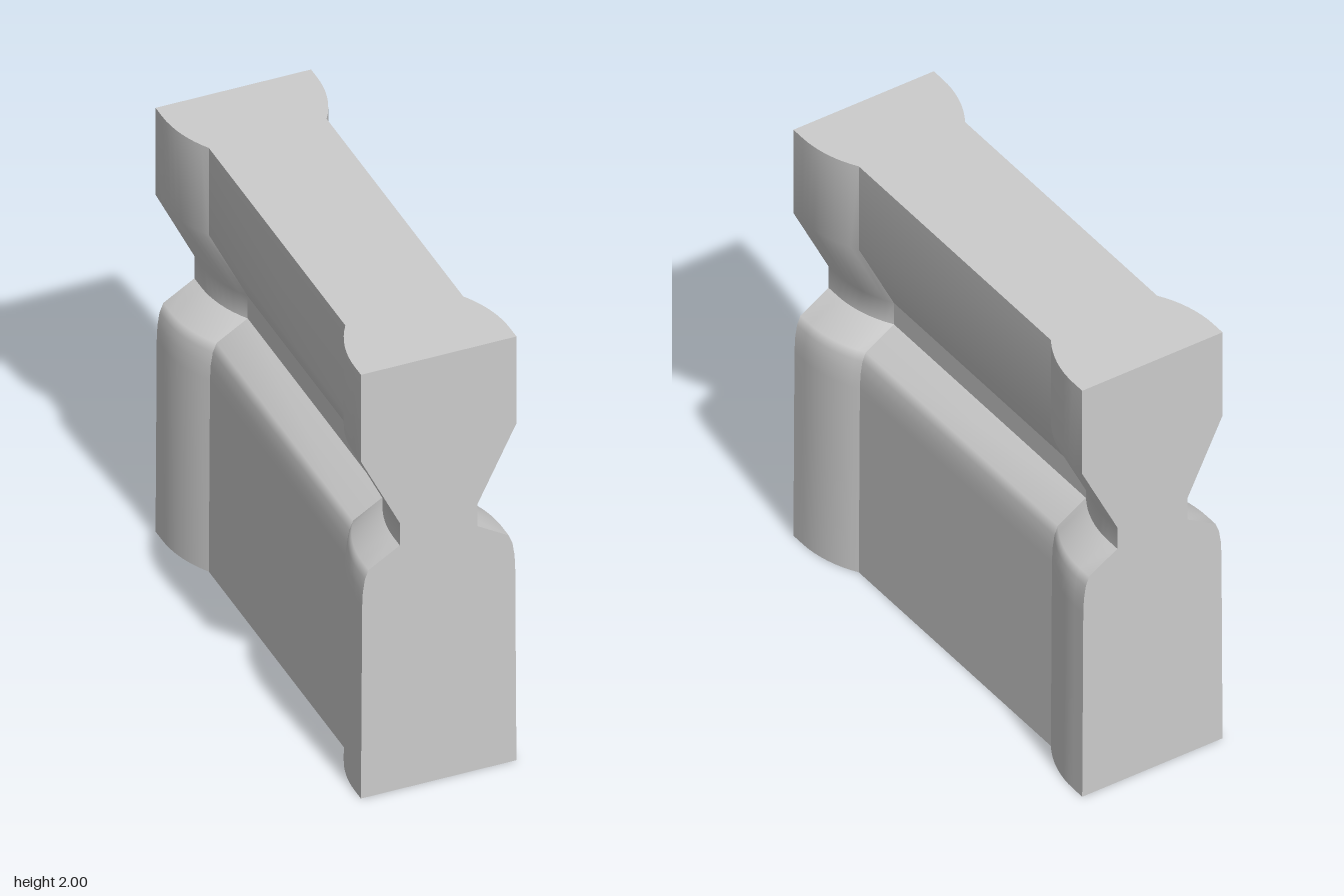
import * as THREE from 'three';

const material = new THREE.MeshStandardMaterial({ color: 0xcccccc });

// Half profile at the ends as [x, y], from the top down
const upper = [[0.33, 2], [0.33, 1.59], [0.165, 1.255]];
const neck = [[0.165, 1.255], [0.165, 1.15]];
const lower = [[0.165, 1.15], [0.297, 1.07], [0.313, 1.03], [0.322, 0.97], [0.325, 0.9], [0.327, 0.5], [0.33, 0]];

// Plan of one flared end as [z, inset]: a shallow arc running into the recess
const flare = [[1, 0]];
const RADIUS = 0.5, SWEEP = Math.acos(1 - 0.08 / RADIUS), STEPS = 8;
for (let i = 0; i <= STEPS; i++) {
  const a = (SWEEP * i) / STEPS;
  flare.push([0.665 + RADIUS * (Math.sin(SWEEP) - Math.sin(a)), RADIUS * (1 - Math.cos(a))]);
}
const flareBack = flare.map(([z, inset]) => [-z, inset]).reverse();
const recess = [flare[STEPS + 1], flareBack[0]];

// Side surface: a profile swept along z with its inset, on one side of the model
function sweep(profile, plan, side) {
  const positions = [], index = [], n = profile.length;
  for (const [z, inset] of plan)
    for (const [x, y] of profile) positions.push(side * (x - inset), y, z);
  for (let i = 0; i < plan.length - 1; i++) {
    for (let j = 0; j < n - 1; j++) {
      const a = i * n + j, b = a + 1, c = a + n, d = c + 1;
      if (side > 0) index.push(a, b, c, b, d, c);
      else index.push(a, c, b, b, c, d);
    }
  }
  const geometry = new THREE.BufferGeometry();
  geometry.setAttribute('position', new THREE.Float32BufferAttribute(positions, 3));
  geometry.setIndex(index);
  geometry.computeVertexNormals();
  return geometry;
}

// Flat face from a half outline mirrored across x = 0
function mirroredFace(half) {
  const points = [...half, ...half.map(([x, y]) => [-x, y]).reverse()];
  return new THREE.ShapeGeometry(new THREE.Shape(points.map(([x, y]) => new THREE.Vector2(x, y))));
}

export function createModel() {
  const model = new THREE.Group();
  model.name = 'barrierBlock';
  const add = (name, geometry) => {
    const mesh = new THREE.Mesh(geometry, material);
    mesh.name = name;
    model.add(mesh);
  };

  // Long sides: flared ends and the recessed panel between them
  for (const [sideName, side] of [['left', 1], ['right', -1]]) {
    for (const [endName, plan] of [['Front', flare], ['Back', flareBack]]) {
      add(`${sideName}${endName}UpperFlare`, sweep([...upper, neck[1]], plan, side));
      add(`${sideName}${endName}LowerFlare`, sweep(lower, plan, side));
    }
    add(`${sideName}UpperPanel`, sweep(upper, recess, side));
    add(`${sideName}Neck`, sweep(neck, recess, side));
    add(`${sideName}LowerPanel`, sweep(lower, recess, side));
  }

  // Flat end faces
  const endOutline = [...upper, neck[1], ...lower.slice(1)];
  add('frontFace', mirroredFace(endOutline).translate(0, 0, 1));
  add('backFace', mirroredFace(endOutline).rotateY(Math.PI).translate(0, 0, -1));

  // Flat top and base
  const planOutline = [...flare, ...flareBack].map(([z, inset]) => [0.33 - inset, z]);
  add('topFace', mirroredFace(planOutline).rotateX(-Math.PI / 2).translate(0, 2, 0));
  add('baseFace', mirroredFace(planOutline).rotateX(Math.PI / 2));

  return model;
}
